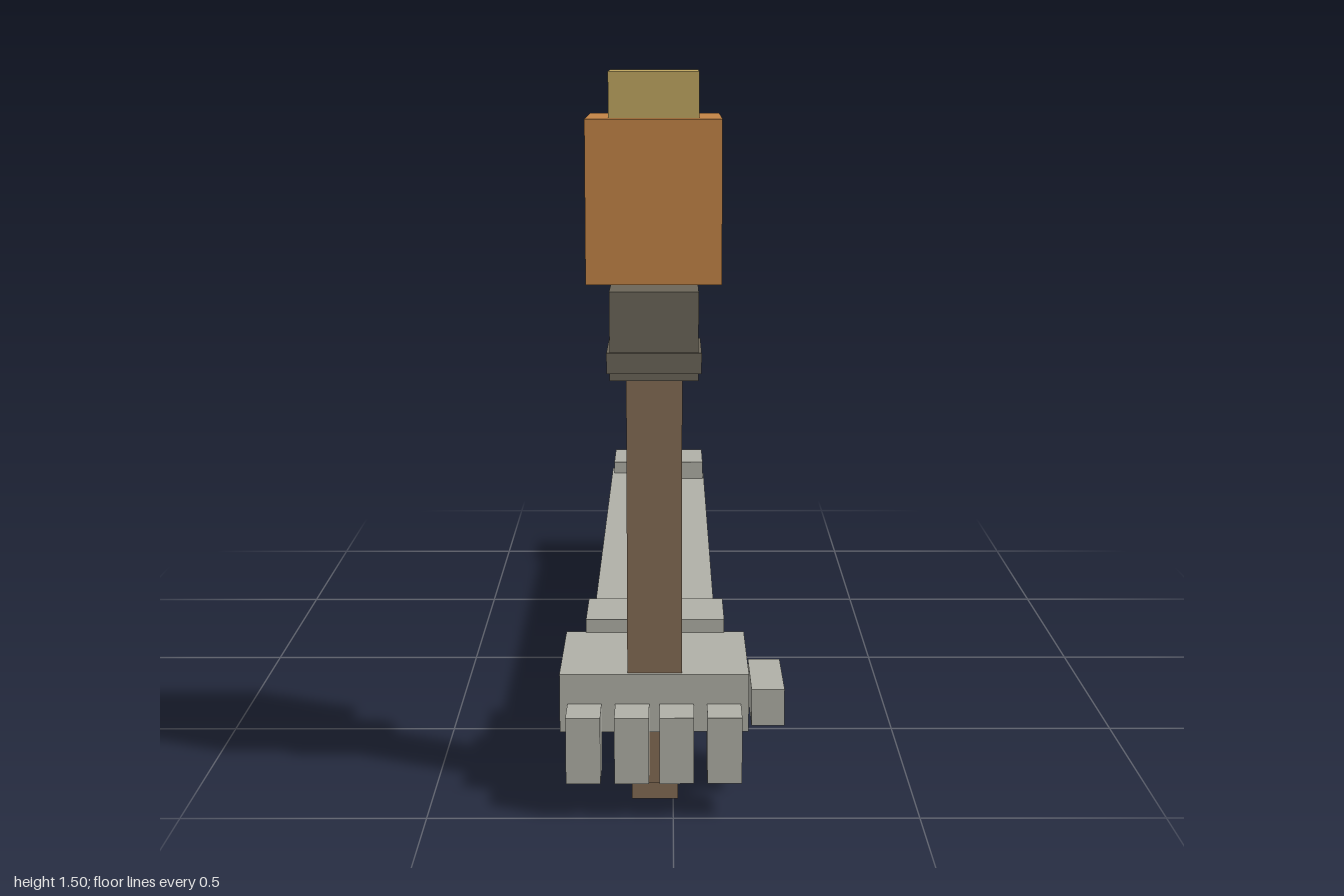
import * as THREE from 'three';

const paint = (name, color) => {
  const m = new THREE.MeshStandardMaterial({ color });
  m.name = name;
  return m;
};

export function createModel() {
  const model = new THREE.Group();
  model.name = 'skeletalArmWithTorch';

  const bone = paint('bone grey', 0xb0b0a7);
  const wood = paint('wood brown', 0x846c55);
  const iron = paint('dark iron', 0x6b6558);
  const flame = paint('flame orange', 0xc28446);
  const glow = paint('pale gold', 0xbfa660);

  // Box given by its extents along each axis
  const box = (parent, name, material, [x0, x1], [y0, y1], [z0, z1]) => {
    const mesh = new THREE.Mesh(new THREE.BoxGeometry(x1 - x0, y1 - y0, z1 - z0), material);
    mesh.position.set((x0 + x1) / 2, (y0 + y1) / 2, (z0 + z1) / 2);
    mesh.name = name;
    parent.add(mesh);
  };

  // Forearm: elbow block, two parallel bones, wrist
  const arm = new THREE.Group();
  arm.name = 'arm';
  model.add(arm);
  box(arm, 'elbow', bone, [-0.17, 0.09], [0.11, 0.32], [-1, -0.828]);
  box(arm, 'rightForearmBone', bone, [-0.176, -0.043], [0.137, 0.287], [-0.895, 0.5]);
  box(arm, 'leftForearmBone', bone, [-0.023, 0.094], [0.137, 0.271], [-0.895, 0.5]);
  box(arm, 'wrist', bone, [-0.19, 0.112], [0.125, 0.305], [0.485, 0.643]);

  // Hand: palm, thumb and four fingers hanging in front
  const hand = new THREE.Group();
  hand.name = 'hand';
  model.add(hand);
  box(hand, 'palm', bone, [-0.233, 0.155], [0.153, 0.276], [0.637, 0.918]);
  box(hand, 'thumb', bone, [0.161, 0.229], [0.163, 0.24], [0.717, 0.908]);
  [-0.182, -0.084, 0.007, 0.104].forEach((x, i) =>
    box(hand, `finger${i + 1}`, bone, [x - 0.035, x + 0.035], [0.074, 0.213], [0.912, 1]));

  // Torch: square sections stacked on one vertical axis
  const torch = new THREE.Group();
  torch.name = 'torch';
  torch.position.set(-0.038, 0, 0.852);
  model.add(torch);
  const section = (name, material, half, y0, y1) =>
    box(torch, name, material, [-half, half], [y0, y1], [-half, half]);
  section('shaftTip', wood, 0.048, 0, 0.04);
  section('shaft', wood, 0.056, 0.038, 0.895);
  section('cup', iron, 0.088, 0.89, 1.068);
  section('cupRing', iron, 0.094, 0.905, 0.947);
  section('flame', flame, 0.132, 1.087, 1.406);
  section('flameTip', glow, 0.088, 1.4, 1.495);

  return model;
}
